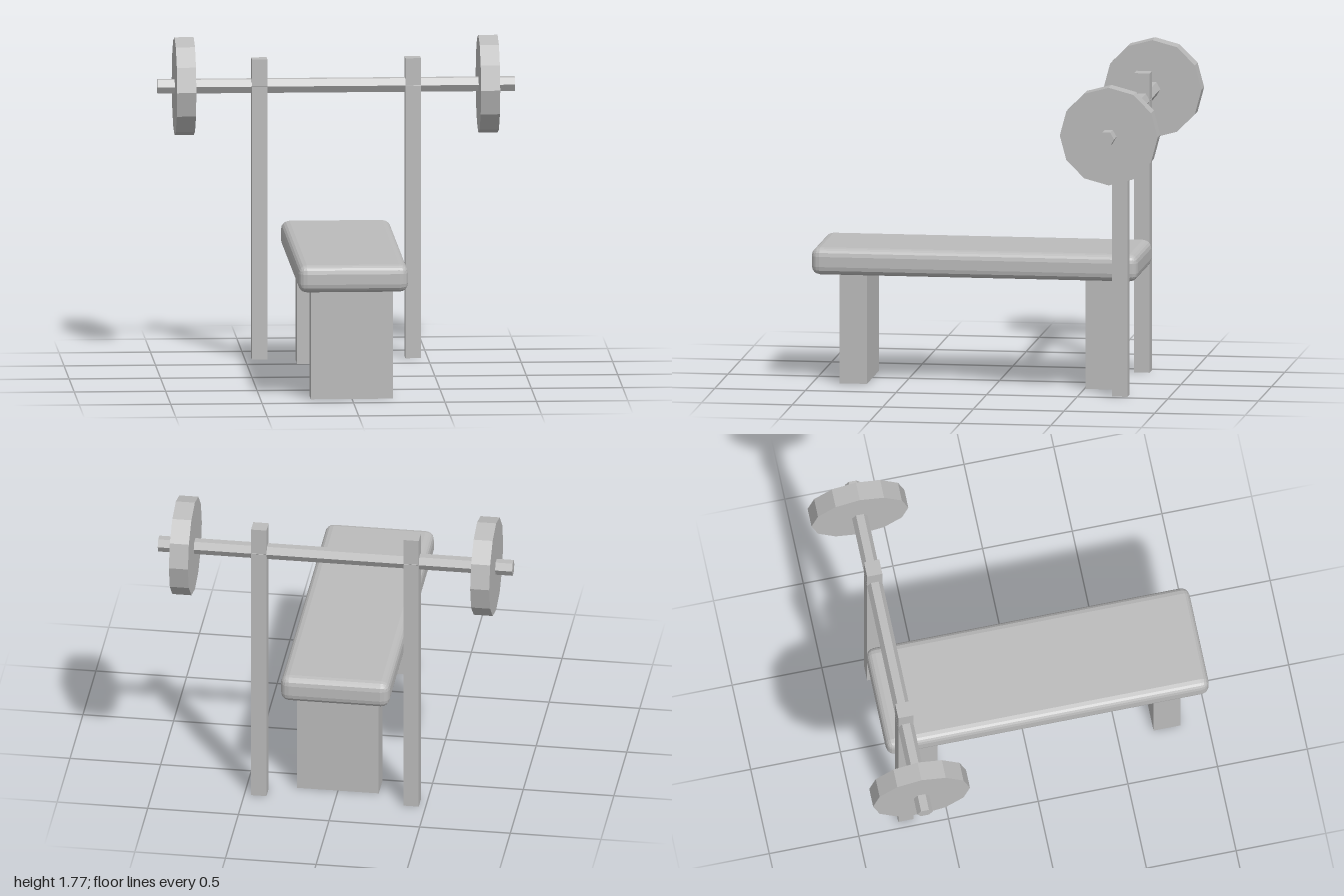
import * as THREE from 'three';
import { RoundedBoxGeometry } from 'three/addons/geometries/RoundedBoxGeometry.js';

export function createModel() {
  const model = new THREE.Group();
  model.name = 'weightBench';
  const grey = new THREE.MeshStandardMaterial({ color: 0xbbbbbb, flatShading: true });
  grey.name = 'grey';

  const add = (name, geometry, x, y, z) => {
    const mesh = new THREE.Mesh(geometry, grey);
    mesh.name = name;
    mesh.position.set(x, y, z);
    model.add(mesh);
  };

  // Cylinder lying along x, with corners on the y or z axis
  const rod = (radius, length, sides) =>
    new THREE.CylinderGeometry(radius, radius, length, sides).rotateZ(Math.PI / 2);

  const barY = 1.505, barZ = -0.73;

  // Padded seat and its two wide legs
  add('benchPad', new RoundedBoxGeometry(0.6, 0.15, 1.8, 2, 0.047), 0, 0.68, 0.1);
  add('frontLeg', new THREE.BoxGeometry(0.45, 0.61, 0.15), 0, 0.305, 0.775);
  add('backLeg', new THREE.BoxGeometry(0.45, 0.61, 0.15), 0, 0.305, -0.58);

  // Barbell
  add('bar', rod(0.0435, 1.955, 6), 0, barY, barZ);

  // Mirrored uprights and weight plates
  for (const [side, s] of [['left', 1], ['right', -1]]) {
    add(side + 'Upright', new THREE.BoxGeometry(0.085, 1.655, 0.085), s * 0.42, 0.8275, barZ);
    add(side + 'WeightPlate', rod(0.27, 0.105, 12), s * 0.831, barY, barZ);
  }
  return model;
}
